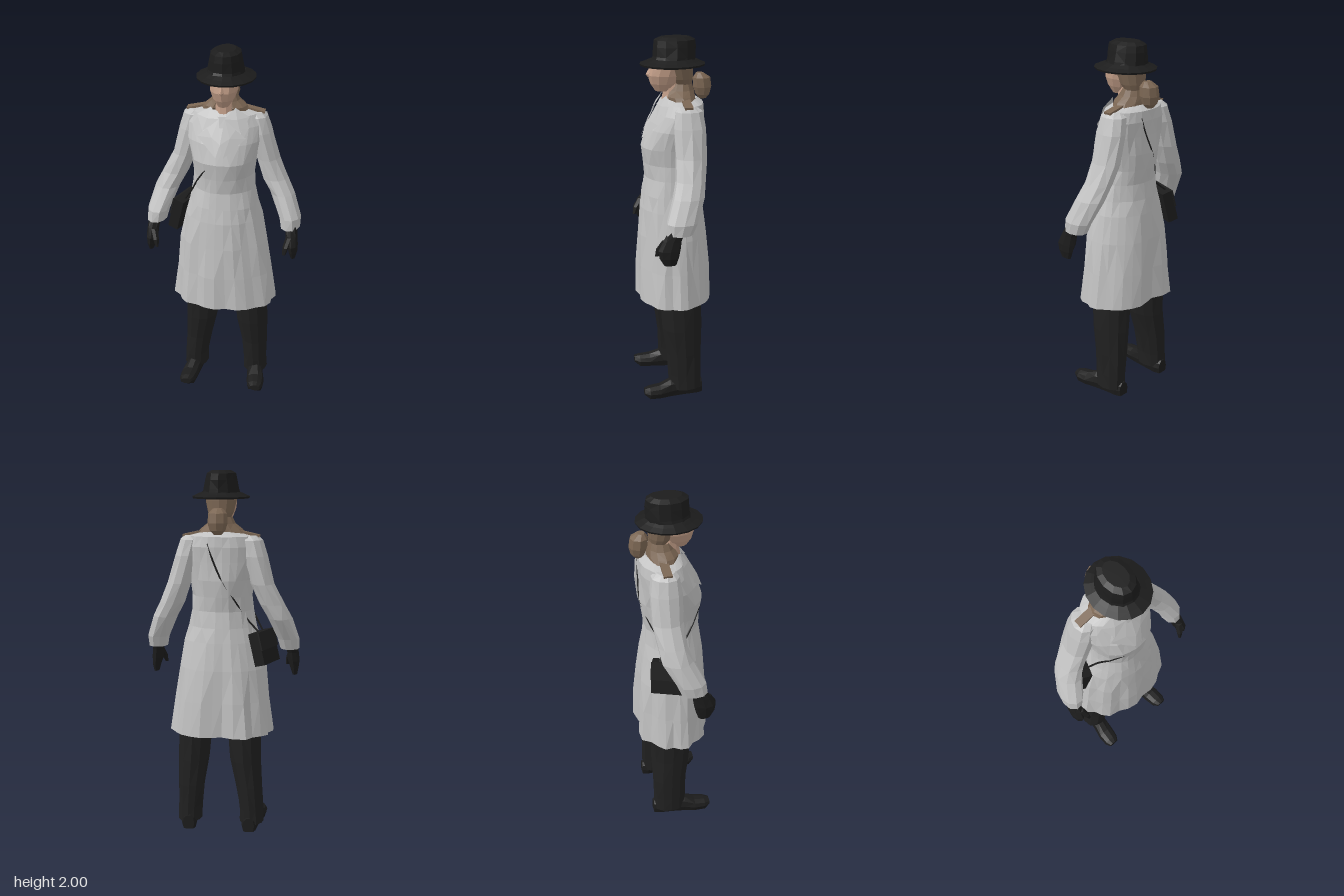
import * as THREE from 'three';

const mat = (name, color) => {
  const m = new THREE.MeshStandardMaterial({ color, flatShading: true, side: THREE.DoubleSide });
  m.name = name;
  return m;
};

// repeatable value in -1..1
const noise = (i, j) => {
  const s = Math.sin(i * 12.99 + j * 78.23) * 43758.55;
  return 2 * (s - Math.floor(s)) - 1;
};

// faceted skin over elliptical rings [cx, cy, cz, rx, rz], listed top to bottom
function loft(rings, sides, { capTop = true, capBottom = true, rough = 0, shape = null } = {}) {
  const pos = [], idx = [];
  rings.forEach(([cx, cy, cz, rx, rz], i) => {
    for (let j = 0; j < sides; j++) {
      const t = (j / sides) * Math.PI * 2;
      const k = (1 + rough * noise(i + 1, j + 1)) * (shape ? shape(cy, j, t) : 1);
      pos.push(cx + Math.cos(t) * rx * k, cy, cz + Math.sin(t) * rz * k);
    }
  });
  for (let i = 0; i < rings.length - 1; i++) {
    for (let j = 0; j < sides; j++) {
      const a = i * sides + j, b = i * sides + (j + 1) % sides, c = a + sides, d = b + sides;
      if ((i + j) % 2) idx.push(a, b, c, b, d, c);
      else idx.push(a, b, d, a, d, c);
    }
  }
  const cap = (i, top) => {
    const c = pos.length / 3;
    pos.push(...rings[i].slice(0, 3));
    for (let j = 0; j < sides; j++) {
      const a = i * sides + j, b = i * sides + (j + 1) % sides;
      idx.push(c, ...(top ? [b, a] : [a, b]));
    }
  };
  if (capTop) cap(0, true);
  if (capBottom) cap(rings.length - 1, false);
  const g = new THREE.BufferGeometry();
  g.setAttribute('position', new THREE.Float32BufferAttribute(pos, 3));
  g.setIndex(idx);
  const flat = g.toNonIndexed();
  flat.computeVertexNormals();
  return flat;
}

const COAT = [
  [0, 1.678, -0.04, 0.1, 0.088],
  [0, 1.655, -0.045, 0.18, 0.115],
  [0, 1.6, -0.035, 0.203, 0.13],
  [0, 1.52, -0.01, 0.2, 0.153],
  [0, 1.42, 0.006, 0.177, 0.17],
  [0, 1.33, 0.006, 0.165, 0.157],
  [0, 1.25, 0.008, 0.17, 0.148],
  [0, 1.16, 0.012, 0.188, 0.16],
  [0, 1.08, 0.01, 0.21, 0.173],
  [0, 0.93, 0.007, 0.243, 0.188],
  [0.004, 0.75, 0.007, 0.268, 0.196],
  [0.008, 0.558, 0.007, 0.291, 0.202],
];

// depth of the coat surface at x, y; side is 1 for the front and -1 for the back
function coatZ(x, y, side = 1) {
  let i = 0;
  while (i < COAT.length - 2 && COAT[i + 1][1] > y) i++;
  const a = COAT[i], b = COAT[i + 1];
  const t = THREE.MathUtils.clamp((a[1] - y) / (a[1] - b[1]), 0, 1);
  const [cz, rx, rz] = [2, 3, 4].map((k) => THREE.MathUtils.lerp(a[k], b[k], t));
  return cz + side * rz * Math.sqrt(Math.max(0, 1 - (x / rx) ** 2));
}

// pleats growing toward the hem, with a hollow and two full folds at the back
function pleats(y, j, t) {
  const w = THREE.MathUtils.clamp((1.15 - y) / 0.5, 0, 1);
  const d = Math.abs(t - Math.PI * 1.5);
  const back = d < Math.PI / 4 ? -0.1 * Math.cos(6 * d) : 0;
  return 1 + w * (back + (j % 3 === 1 ? -0.04 : 0.012));
}

// cloth plate lying on the coat front, fanned out from its middle
function plate(points, lift) {
  const n = points.length;
  const mid = [0, 1].map((k) => points.reduce((s, p) => s + p[k], 0) / n);
  const at = ([x, y]) => new THREE.Vector3(x, y, coatZ(x, y) + lift);
  const tris = [];
  points.forEach((p, i) => tris.push(at(mid), at(p), at(points[(i + 1) % n])));
  const g = new THREE.BufferGeometry().setFromPoints(tris);
  g.computeVertexNormals();
  return g;
}

export function createModel() {
  const root = new THREE.Group();
  root.name = 'womanInTrenchCoat';
  const coat = mat('coatGrey', 0xc2c2c2);
  const black = mat('black', 0x1c1c1c);
  const trouser = mat('trouserBlack', 0x202020);
  const skin = mat('skin', 0xc09c86);
  const brown = mat('hairBrown', 0x7b6653);
  const add = (name, geo, material) => {
    const m = new THREE.Mesh(geo, material);
    m.name = name;
    root.add(m);
    return m;
  };

  // coat body, open at the hem
  add('coat', loft(COAT, 30, { capBottom: false, rough: 0.025, shape: pleats }), coat);

  // raised brown collar, dipping in at the throat
  add('collar', loft([
    [0, 1.755, -0.045, 0.06, 0.058], [0, 1.72, -0.042, 0.078, 0.072],
    [0, 1.69, -0.035, 0.115, 0.085], [0, 1.66, -0.045, 0.14, 0.08],
  ], 12, { capTop: false, capBottom: false, shape: (y, j) => (j === 3 ? 0.6 : 1) }), brown);

  for (const s of [1, -1]) {
    const side = s > 0 ? 'left' : 'right';
    // right arm reaches slightly further forward
    const reach = (y) => (s < 0 && y < 1.2 ? 0.02 : 0);
    const flip = (rings) => rings.map(([x, ...r]) => [s * x, ...r]);
    const arm = (rings) => rings.map(([x, y, z, ...r]) => [s * x, y, z + reach(y), ...r]);

    // brown shoulder strip
    const strip = add(side + 'ShoulderStrip', new THREE.BoxGeometry(0.11, 0.012, 0.045), brown);
    strip.position.set(s * 0.155, 1.667, -0.05);
    strip.rotation.z = -s * 0.22;

    // collar wing and lapel
    const mirrored = (pts) => {
      const m = pts.map(([x, y]) => [s * x, y]);
      return s > 0 ? m : m.reverse();
    };
    add(side + 'CollarWing', plate(mirrored([[0.065, 1.7], [0.015, 1.65], [0.1, 1.585], [0.14, 1.655]]), 0.018), coat);
    add(side + 'Lapel', plate(mirrored([[0.015, 1.65], [0, 1.53], [0.02, 1.465], [0.13, 1.555], [0.075, 1.6]]), 0.014), coat);

    // sleeve
    add(side + 'Sleeve', loft(arm([
      [0.145, 1.658, -0.05, 0.055, 0.05], [0.163, 1.635, -0.055, 0.062, 0.075], [0.185, 1.55, -0.058, 0.066, 0.088],
      [0.228, 1.4, -0.055, 0.064, 0.085], [0.275, 1.29, -0.045, 0.07, 0.083], [0.318, 1.21, -0.025, 0.067, 0.086],
      [0.363, 1.09, 0.014, 0.062, 0.082], [0.37, 1.03, 0.028, 0.054, 0.072],
    ]), 10, { rough: 0.07 }), coat);

    // glove with thumb
    add(side + 'Glove', loft(arm([
      [0.373, 1.06, 0.04, 0.036, 0.045], [0.383, 1.0, 0.07, 0.032, 0.05], [0.388, 0.95, 0.085, 0.032, 0.06],
      [0.393, 0.91, 0.088, 0.024, 0.052], [0.395, 0.87, 0.085, 0.014, 0.032],
    ]), 8, { rough: 0.06 }), black);
    add(side + 'Thumb', loft(arm([
      [0.375, 1.0, 0.1, 0.02, 0.025], [0.358, 0.95, 0.135, 0.017, 0.019], [0.35, 0.91, 0.148, 0.009, 0.01],
    ]), 6), black);

    // trouser leg; the right thigh stands closer to the middle
    const inset = s < 0 ? 0.025 : 0;
    add(side + 'TrouserLeg', loft(flip([
      [0.13 - inset, 0.9, -0.01, 0.09, 0.12], [0.151 - inset, 0.56, -0.018, 0.095, 0.116],
      [0.16 - inset, 0.4, -0.023, 0.09, 0.11], [0.172 - inset * 0.6, 0.25, -0.032, 0.075, 0.1],
      [0.18 - inset * 0.4, 0.12, -0.035, 0.068, 0.096], [0.183 - inset * 0.4, 0.04, -0.038, 0.07, 0.093],
    ]), 12, { rough: 0.04 }), trouser);

    // shoe, lofted from toe to heel and flattened underneath
    const shoe = loft(flip([
      [0.21, 0.2, -0.035, 0.03, 0.018], [0.207, 0.17, -0.03, 0.046, 0.032], [0.202, 0.11, -0.03, 0.051, 0.04],
      [0.192, 0.05, -0.035, 0.047, 0.06], [0.183, -0.03, -0.04, 0.045, 0.065],
      [0.178, -0.1, -0.035, 0.045, 0.055], [0.177, -0.133, -0.035, 0.033, 0.045],
    ]), 10);
    shoe.rotateX(Math.PI / 2);
    const p = shoe.attributes.position;
    for (let i = 0; i < p.count; i++) if (p.getY(i) < 0.012) p.setY(i, 0);
    shoe.translate(s < 0 ? 0.012 : 0, 0, 0);
    shoe.computeVertexNormals();
    add(side + 'Shoe', shoe, black);
  }

  // head
  add('neck', loft([[0, 1.76, -0.005, 0.046, 0.05], [0, 1.66, 0, 0.055, 0.062]], 10), skin);
  add('face', loft([
    [0.004, 1.89, 0.012, 0.07, 0.09], [0.004, 1.855, 0.02, 0.08, 0.1], [0.004, 1.8, 0.035, 0.074, 0.1],
    [0.004, 1.755, 0.045, 0.056, 0.077], [0.004, 1.715, 0.055, 0.03, 0.04],
  ], 12), skin);
  add('nose', loft([
    [0.004, 1.845, 0.115, 0.008, 0.008], [0.004, 1.805, 0.13, 0.014, 0.016], [0.004, 1.79, 0.125, 0.01, 0.01],
  ], 4), skin);
  add('hair', loft([
    [0.004, 1.9, -0.028, 0.084, 0.08], [0.004, 1.84, -0.03, 0.084, 0.08],
    [0.004, 1.78, -0.043, 0.07, 0.065], [0.004, 1.74, -0.055, 0.05, 0.045],
  ], 12), brown);

  // hair bun
  add('hairBun', loft([
    [0.004, 1.805, -0.145, 0.025, 0.02], [0.004, 1.78, -0.155, 0.05, 0.048], [0.004, 1.73, -0.16, 0.054, 0.05],
    [0.004, 1.69, -0.162, 0.042, 0.038], [0.004, 1.668, -0.162, 0.02, 0.02],
  ], 8), brown);

  // hat
  add('hatCrown', loft([
    [0.006, 2.0, -0.01, 0.052, 0.08], [0.006, 1.985, -0.008, 0.08, 0.11], [0.006, 1.95, -0.008, 0.088, 0.114],
    [0.006, 1.9, -0.006, 0.097, 0.116], [0.006, 1.868, 0, 0.106, 0.124],
  ], 12, { rough: 0.02 }), black);
  add('hatBrim', loft([
    [0.01, 1.888, 0, 0.1, 0.115], [0.01, 1.875, 0.002, 0.127, 0.143], [0.01, 1.862, 0.003, 0.157, 0.176],
    [0.01, 1.852, 0.003, 0.153, 0.172], [0.01, 1.87, 0, 0.08, 0.095],
  ], 16, { capTop: false, capBottom: false }), black);

  // shoulder bag hugging the right hip
  const bag = new THREE.Group();
  bag.name = 'shoulderBag';
  const body = new THREE.Mesh(new THREE.BoxGeometry(0.06, 0.18, 0.19), black);
  body.name = 'bagBody';
  const flap = new THREE.Mesh(new THREE.BoxGeometry(0.009, 0.1, 0.196), trouser);
  flap.name = 'bagFlap';
  flap.position.set(-0.032, 0.04, 0);
  bag.add(body, flap);
  bag.position.set(-0.237, 1.05, -0.05);
  bag.rotation.set(0, -0.35, -0.25);
  root.add(bag);

  // bag strap, mostly sunk in the coat front and back
  const strap = (name, pts, dir) => {
    const path = pts.map(([x, y]) => new THREE.Vector3(x, y, coatZ(x, y, dir) - dir * 0.002));
    path.unshift(new THREE.Vector3(-0.225, 1.13, -0.05 + dir * 0.05));
    add(name, new THREE.TubeGeometry(new THREE.CatmullRomCurve3(path), 24, 0.005, 4), black);
  };
  strap('strapFront', [[-0.17, 1.22], [-0.13, 1.3], [-0.08, 1.38]], 1);
  strap('strapBack', [[-0.15, 1.2], [-0.09, 1.3], [-0.02, 1.42], [0.03, 1.53], [0.06, 1.62]], -1);

  return root;
}
